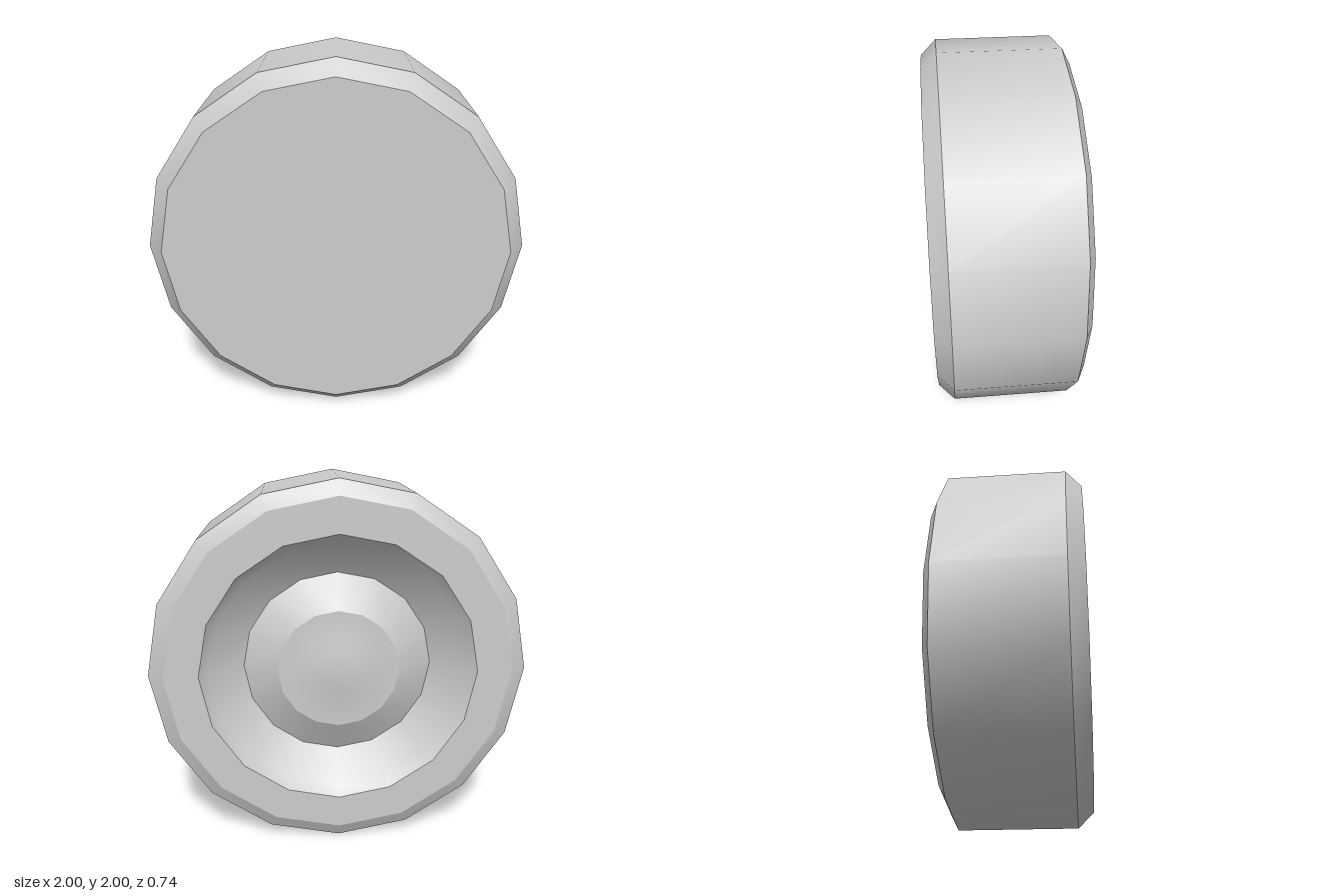
import * as THREE from 'three';
import { toCreasedNormals } from 'three/addons/utils/BufferGeometryUtils.js';

const SIDES = 16;

// Turns a profile of [radius, z] pairs, listed from back to front, around the z axis
function turned(name, profile) {
  const points = profile.map(([r, z]) => new THREE.Vector2(r, z));
  const lathe = new THREE.LatheGeometry(points, SIDES).rotateX(Math.PI / 2);
  const geometry = toCreasedNormals(lathe, 0.42);
  const mesh = new THREE.Mesh(geometry, new THREE.MeshStandardMaterial({ color: 0xcccccc }));
  mesh.name = name;
  mesh.position.y = 1;
  return mesh;
}

export function createModel() {
  const wheel = new THREE.Group();
  wheel.name = 'wheel';

  // Tyre: back sidewall, bevelled tread and closed front face
  wheel.add(turned('tyre', [
    [0.735, -0.372], [0.92, -0.372], [1, -0.33],
    [1, 0.29], [0.92, 0.372], [0, 0.372],
  ]));

  // Rim: stepped hub in the middle, V-shaped valley, then a dish up to the sidewall
  wheel.add(turned('rim', [
    [0, -0.32], [0.117, -0.32], [0.21, -0.3], [0.325, -0.3],
    [0.51, -0.2], [0.69, -0.322], [0.735, -0.372],
  ]));

  return wheel;
}
